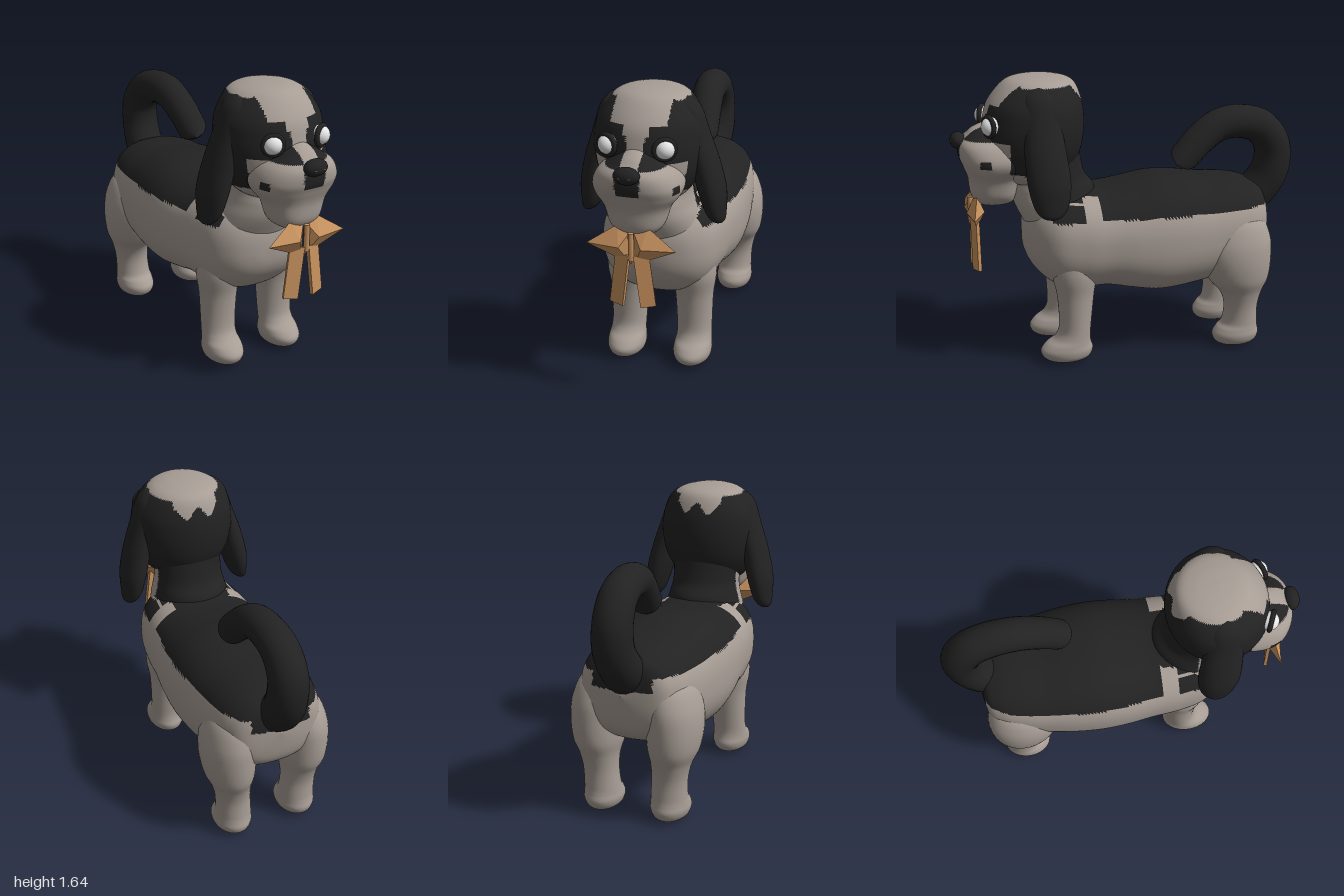
import * as THREE from 'three';
import { ConvexGeometry } from 'three/addons/geometries/ConvexGeometry.js';

const mat = (name, color) => {
  const m = new THREE.MeshStandardMaterial({ color });
  m.name = name;
  return m;
};

// Smooth interpolation through rows of numbers
function sampleRows(rows, t) {
  const i = Math.min(Math.floor(t), rows.length - 2), f = t - i;
  const a = rows[Math.max(i - 1, 0)], b = rows[i], c = rows[i + 1], d = rows[Math.min(i + 2, rows.length - 1)];
  return b.map((v, k) => v + 0.5 * f * (c[k] - a[k]
    + f * (2 * a[k] - 5 * v + 4 * c[k] - d[k] + f * (3 * (v - c[k]) + d[k] - a[k]))));
}

// Skin over oval rings. Row: [position on axis, centre x, other centre, radius x, other radius].
// Axis 'y' rows run upward, axis 'z' rows run from front to back.
function loft(rows, axis, { power = 2, seg = 48, steps = 6, side = 1 } = {}) {
  const pos = [], index = [], count = (rows.length - 1) * steps;
  const bend = (v) => Math.sign(v) * Math.abs(v) ** (2 / power);
  for (let i = 0; i <= count; i++) {
    const [p, cx, co, rx, ro] = sampleRows(rows, i / steps);
    for (let j = 0; j < seg; j++) {
      const a = (j / seg) * Math.PI * 2;
      const x = cx * side + Math.max(rx, 0.0005) * bend(Math.cos(a));
      const o = co + Math.max(ro, 0.0005) * bend(Math.sin(a));
      pos.push(x, axis === 'y' ? p : o, axis === 'y' ? o : p);
      if (i < count) {
        const k = i * seg + j, n = i * seg + (j + 1) % seg;
        index.push(k, k + seg, n, n, k + seg, n + seg);
      }
    }
  }
  const g = new THREE.BufferGeometry();
  g.setAttribute('position', new THREE.Float32BufferAttribute(pos, 3));
  g.setIndex(index);
  g.computeVertexNormals();
  return g;
}

// Sort triangles into two material groups: light coat (0) and dark coat (1)
function paint(g, isDark) {
  const p = g.attributes.position, idx = g.index.array, lists = [[], []];
  for (let i = 0; i < idx.length; i += 3) {
    const t = [idx[i], idx[i + 1], idx[i + 2]];
    const mid = (f) => t.reduce((s, v) => s + p[f](v), 0) / 3;
    lists[isDark(Math.abs(mid('getX')), mid('getY'), mid('getZ')) ? 1 : 0].push(...t);
  }
  g.setIndex(lists[0].concat(lists[1]));
  g.addGroup(0, lists[0].length, 0);
  g.addGroup(lists[0].length, lists[1].length, 1);
  return g;
}

// Coat markings
function bodyDark(x, y, z) {
  if (z < -0.74 && y > 0.78 && x < 0.17) return true;
  if (z < 0.2) return y > 0.86;
  if (z < 0.3) return y > 0.97 || x < 0.14;
  if (z < 0.48 && y > 0.855 && y < 0.95 && x > 0.235) return true;
  return y > 0.95 && z < 0.42;
}
function headDark(x, y, z) {
  if (z > 0.62) {
    if (x < 0.065 && y > 1.18 && y < 1.28 && z > 0.88) return true;
    if (x > 0.15 && y > 1.175 && y < 1.215 && z > 0.8 && z < 0.86) return true;
    if (y < 1.31 && z > 0.7) return false;
    if (y < 1.13) return false;
    return x > (y < 1.45 ? 0.048 : y < 1.5 ? 0.07 : 0.15);
  }
  if (y < 1.12) return z < 0.55;
  if (z < 0.36 && x < 0.13) return y < 1.53 + 0.03 * Math.cos(x * 45);
  return y < 1.597;
}

export function createModel() {
  const light = mat('light coat', 0xa79d95), dark = mat('dark coat', 0x222222);
  const white = mat('eye white', 0xe6e6e6), tan = mat('tan ribbon', 0xc9935f);
  const model = new THREE.Group();
  const add = (name, geometry, material) => {
    const m = new THREE.Mesh(geometry, material);
    m.name = name;
    model.add(m);
    return m;
  };
  const coat = [light, dark];

  // Torso
  add('body', paint(loft([
    [0.615, 0, 0.73, 0, 0], [0.6, 0, 0.73, 0.12, 0.11], [0.55, 0, 0.73, 0.23, 0.2],
    [0.45, 0, 0.72, 0.31, 0.28], [0.3, 0, 0.705, 0.34, 0.295], [0.15, 0, 0.7, 0.352, 0.29],
    [0, 0, 0.695, 0.368, 0.315], [-0.15, 0, 0.695, 0.373, 0.34], [-0.3, 0, 0.698, 0.365, 0.332],
    [-0.45, 0, 0.7, 0.345, 0.31], [-0.6, 0, 0.71, 0.32, 0.29], [-0.72, 0, 0.725, 0.28, 0.25],
    [-0.8, 0, 0.74, 0.2, 0.18], [-0.83, 0, 0.75, 0, 0],
  ], 'z', { power: 2.4, seg: 96, steps: 8 }), bodyDark), coat);

  // Neck
  add('neck', paint(loft([
    [0.72, 0, 0.36, 0.24, 0.2], [0.82, 0, 0.385, 0.26, 0.225], [0.92, 0, 0.42, 0.235, 0.235],
    [1.0, 0, 0.43, 0.21, 0.235], [1.08, 0, 0.45, 0.2, 0.2], [1.22, 0, 0.48, 0.21, 0.2],
  ], 'y', { seg: 96, steps: 10 }), bodyDark), coat);

  // Head and muzzle
  add('head', paint(loft([
    [1.02, 0, 0.55, 0, 0], [1.04, 0, 0.55, 0.12, 0.12], [1.1, 0, 0.55, 0.21, 0.21],
    [1.2, 0, 0.545, 0.27, 0.265], [1.3, 0, 0.54, 0.295, 0.285], [1.4, 0, 0.533, 0.297, 0.283],
    [1.5, 0, 0.525, 0.275, 0.262], [1.6, 0, 0.505, 0.2, 0.2], [1.635, 0, 0.51, 0.11, 0.12],
    [1.645, 0, 0.52, 0, 0],
  ], 'y', { seg: 128, steps: 10 }), headDark), coat);
  add('muzzle', paint(loft([
    [0.915, 0, 0.76, 0, 0], [0.93, 0, 0.76, 0.08, 0.09], [0.98, 0, 0.77, 0.14, 0.125],
    [1.08, 0, 0.765, 0.175, 0.145], [1.15, 0, 0.75, 0.225, 0.185], [1.21, 0, 0.75, 0.235, 0.207],
    [1.28, 0, 0.755, 0.2, 0.2], [1.33, 0, 0.75, 0.13, 0.16], [1.37, 0, 0.74, 0.07, 0.12],
    [1.42, 0, 0.73, 0, 0],
  ], 'y', { power: 2.4, seg: 96, steps: 10 }), headDark), coat);

  // Nose with nostrils
  const nose = add('nose', new THREE.SphereGeometry(1, 24, 16), dark);
  nose.scale.set(0.07, 0.046, 0.045);
  nose.position.set(0, 1.295, 0.955);

  for (const side of [1, -1]) {
    const word = side > 0 ? 'left' : 'right';

    // Eye and dark lid
    const eye = add(word + 'Eye', new THREE.SphereGeometry(0.053, 24, 16), white);
    eye.position.set(0.15 * side, 1.395, 0.79);
    const lid = add(word + 'EyeLid', new THREE.TorusGeometry(0.052, 0.014, 10, 28), dark);
    lid.position.set(0.152 * side, 1.395, 0.8);
    lid.rotation.y = 0.42 * side;
    const nostril = add(word + 'Nostril', new THREE.SphereGeometry(0.008, 10, 8), light);
    nostril.scale.set(1.3, 0.5, 0.5);
    nostril.position.set(0.024 * side, 1.292, 0.994);

    // Drooping ear
    add(word + 'Ear', loft([
      [0.908, 0.37, 0.5, 0, 0], [0.925, 0.362, 0.5, 0.033, 0.055], [0.98, 0.345, 0.5, 0.055, 0.095],
      [1.1, 0.325, 0.505, 0.074, 0.118], [1.25, 0.29, 0.515, 0.075, 0.115], [1.4, 0.245, 0.525, 0.07, 0.105],
      [1.53, 0.213, 0.53, 0.06, 0.09], [1.585, 0.195, 0.53, 0.035, 0.055], [1.605, 0.19, 0.53, 0, 0],
    ], 'y', { seg: 32, side }), dark);

    // Front leg with paw
    add(word + 'FrontLeg', loft([
      [0, 0.195, 0.4, 0, 0], [0.008, 0.195, 0.4, 0.06, 0.09], [0.03, 0.195, 0.4, 0.095, 0.135],
      [0.07, 0.195, 0.4, 0.108, 0.152], [0.11, 0.195, 0.39, 0.106, 0.132], [0.15, 0.195, 0.365, 0.1, 0.102],
      [0.22, 0.193, 0.35, 0.1, 0.092], [0.4, 0.19, 0.345, 0.108, 0.106], [0.55, 0.19, 0.35, 0.125, 0.13],
      [0.75, 0.17, 0.35, 0.12, 0.12],
    ], 'y', { seg: 32, side }), light);

    // Hind leg with thigh and paw
    add(word + 'HindLeg', loft([
      [0, 0.2, -0.62, 0, 0], [0.008, 0.2, -0.62, 0.06, 0.085], [0.03, 0.2, -0.62, 0.095, 0.125],
      [0.07, 0.2, -0.622, 0.11, 0.14], [0.11, 0.2, -0.63, 0.107, 0.125], [0.15, 0.2, -0.645, 0.102, 0.105],
      [0.25, 0.205, -0.65, 0.1, 0.1], [0.34, 0.212, -0.645, 0.112, 0.125], [0.43, 0.22, -0.625, 0.14, 0.18],
      [0.56, 0.222, -0.61, 0.152, 0.207], [0.68, 0.212, -0.61, 0.145, 0.2], [0.79, 0.185, -0.62, 0.115, 0.14],
      [0.85, 0.17, -0.63, 0, 0],
    ], 'y', { seg: 40, side }), light);

    // Bow wing and hanging ribbon
    add(word + 'BowWing', new ConvexGeometry([
      [0.24, 0.89, 0.905], [0.08, 0.995, 0.87], [0.008, 0.965, 0.88], [0.008, 0.78, 0.87],
      [0.06, 0.89, 0.93], [0.07, 0.89, 0.83],
    ].map(([x, y, z]) => new THREE.Vector3(x * side, y, z))), tan);
    const ribbon = add(word + 'Ribbon', new THREE.BoxGeometry(0.082, 0.29, 0.02), tan);
    ribbon.position.set(0.067 * side, 0.7, 0.885);
    ribbon.rotation.set(-0.04, 0.3 * side, 0.13 * side);
  }

  // Bow knot
  const knot = add('bowKnot', new THREE.CylinderGeometry(0.016, 0.016, 0.15, 8), tan);
  knot.position.set(0, 0.89, 0.9);

  // Curled tail: a tube narrowed toward a rounded tip
  const path = new THREE.CatmullRomCurve3([
    [0, 0.82, -0.7], [0, 0.9, -0.81], [0.01, 1.02, -0.88], [0.01, 1.16, -0.885], [0.015, 1.27, -0.81],
    [0.025, 1.315, -0.68], [0.035, 1.3, -0.54], [0.05, 1.22, -0.42], [0.063, 1.12, -0.32], [0.065, 1.085, -0.285],
  ].map((p) => new THREE.Vector3(...p)));
  const tail = new THREE.TubeGeometry(path, 64, 1, 24), tp = tail.attributes.position, v = new THREE.Vector3();
  for (let i = 0; i < tp.count; i++) {
    const u = Math.floor(i / 25) / 64, c = path.getPointAt(u);
    const tip = Math.sqrt(Math.max(0, 1 - Math.max(0, (u - 0.94) / 0.06) ** 2));
    v.fromBufferAttribute(tp, i).sub(c).multiplyScalar((0.12 - 0.036 * u) * Math.max(tip, 0.002)).add(c);
    tp.setXYZ(i, v.x, v.y, v.z);
  }
  add('tail', tail, dark);

  return model;
}
